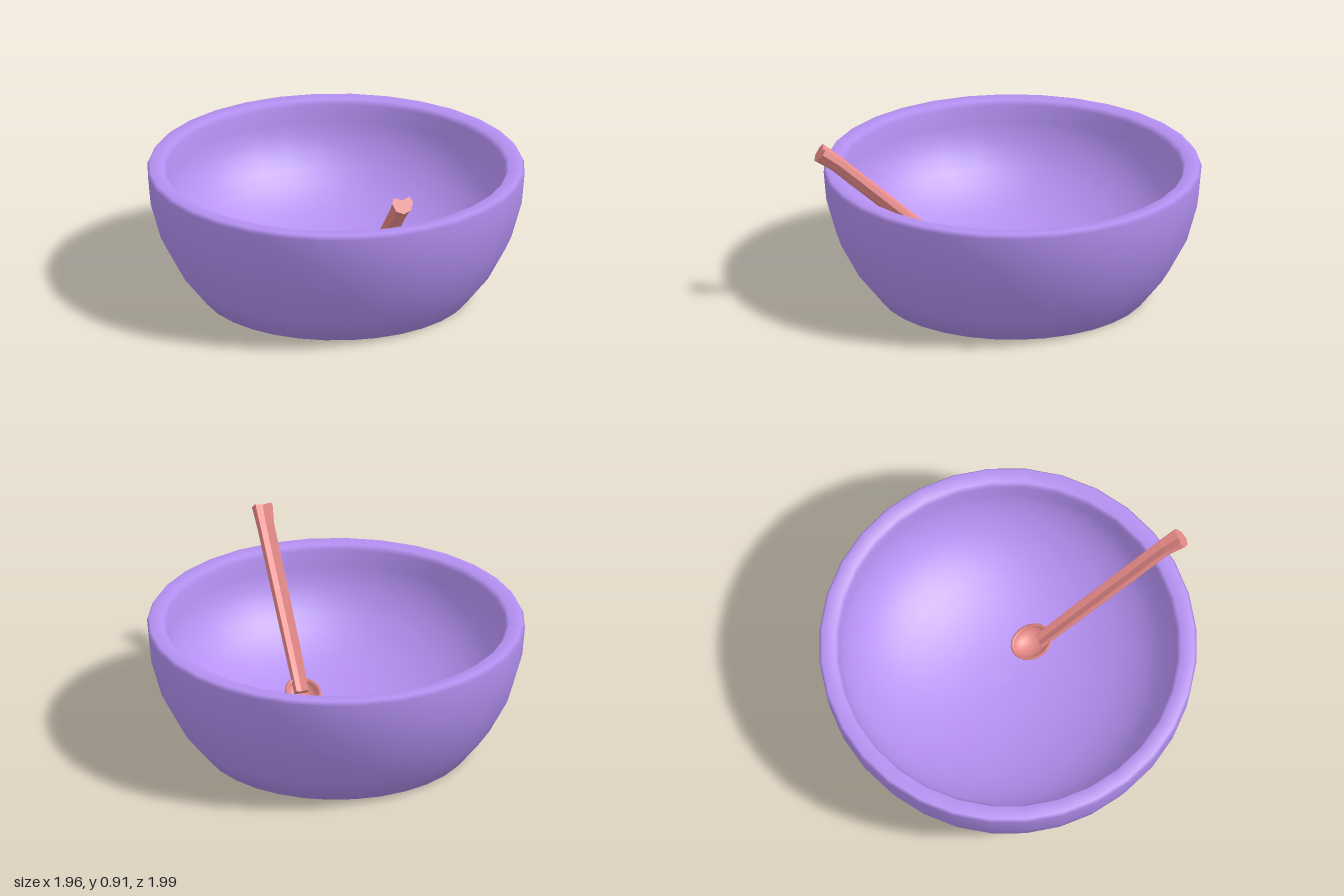
import * as THREE from 'three';

const purple = new THREE.MeshStandardMaterial({ color: 0xb490f2 });
const pink = new THREE.MeshStandardMaterial({ color: 0xe88b89 });
const pinkFlat = new THREE.MeshStandardMaterial({ color: 0xe88b89, flatShading: true });

function lathe(points, segments, material, name) {
  const profile = points.map(([r, y]) => new THREE.Vector2(r, y));
  const mesh = new THREE.Mesh(new THREE.LatheGeometry(profile, segments), material);
  mesh.name = name;
  return mesh;
}

// Joins equal-length rings of points into a capped tube
function loft(rings) {
  const n = rings[0].length;
  const positions = rings.flat().flatMap(p => p.toArray());
  const index = [];
  for (let i = 0; i < rings.length - 1; i++) {
    for (let j = 0; j < n; j++) {
      const a = i * n + j, b = i * n + (j + 1) % n;
      index.push(a, b, a + n, b, b + n, a + n);
    }
  }
  // End caps fan out from the middle of the top groove
  const last = (rings.length - 1) * n;
  for (let j = 1; j < n - 1; j++) {
    index.push(0, j + 1, j, last, last + j, last + j + 1);
  }
  const geometry = new THREE.BufferGeometry();
  geometry.setAttribute('position', new THREE.Float32BufferAttribute(positions, 3));
  geometry.setIndex(index);
  geometry.computeVertexNormals();
  return geometry;
}

function makeBowl() {
  // Outside from the base up, over the rim, then down a rounded hollow
  const points = [
    [0, 0], [0.7, 0], [0.82, 0.15], [0.915, 0.33], [0.968, 0.52],
    [0.982, 0.675], [0.97, 0.697], [0.9, 0.695],
  ];
  const steps = 12, power = 2.2;
  for (let i = 0; i <= steps; i++) {
    const a = (i / steps) * Math.PI / 2;
    points.push([
      0.882 * Math.pow(Math.max(0, Math.cos(a)), 2 / power),
      0.67 - 0.57 * Math.pow(Math.sin(a), 2 / power),
    ]);
  }
  const bowl = lathe(points, 32, purple, 'bowl');
  bowl.position.z = -0.018;
  return bowl;
}

function makeHandle() {
  // Stations along the handle: x, y, z, half width, half height
  const stations = [
    [0.0, 0.18, 0.25, 0.04, 0.035],
    [-0.085, 0.35, 0.415, 0.044, 0.042],
    [-0.32, 0.815, 0.88, 0.047, 0.044],
    [-0.366, 0.877, 0.955, 0.056, 0.05],
  ];
  // Half-round section with a shallow groove on top
  const section = [[0, 0.5], [-0.75, 0.8], [-1, 0.2], [-0.7, -0.65], [0, -1], [0.7, -0.65], [1, 0.2], [0.75, 0.8]];
  const centres = stations.map(s => new THREE.Vector3(s[0], s[1], s[2]));
  const side = new THREE.Vector3(0.89, 0, 0.455);
  const rings = stations.map(([, , , w, h], i) => {
    const tangent = centres[Math.min(i + 1, centres.length - 1)].clone()
      .sub(centres[Math.max(i - 1, 0)]).normalize();
    const up = tangent.clone().cross(side).normalize();
    return section.map(([s, u]) => centres[i].clone()
      .addScaledVector(side, s * w).addScaledVector(up, u * h));
  });
  const handle = new THREE.Mesh(loft(rings), pinkFlat);
  handle.name = 'spoonHandle';
  return handle;
}

function makeScoop() {
  // Double-walled dish: outer shell up to the rim, then the hollow
  const points = [];
  for (let i = 0; i <= 8; i++) {
    const a = (i / 8) * Math.PI / 2;
    points.push([Math.sin(a), -Math.cos(a)]);
  }
  for (let i = 8; i >= 0; i--) {
    const a = (i / 8) * Math.PI / 2;
    points.push([0.88 * Math.sin(a), -0.75 * Math.cos(a)]);
  }
  const scoop = lathe(points, 24, pink, 'spoonScoop');
  scoop.scale.set(0.093, 0.09, 0.112);
  scoop.position.set(0.028, 0.215, 0.205);
  // Point the long axis down the handle and tip it gently forward
  scoop.rotation.order = 'YXZ';
  scoop.rotation.set(-0.25, -0.47, 0);
  return scoop;
}

export function createModel() {
  const model = new THREE.Group();
  model.name = 'bowlWithSpoon';
  const spoon = new THREE.Group();
  spoon.name = 'spoon';
  spoon.add(makeHandle(), makeScoop());
  model.add(makeBowl(), spoon);
  return model;
}
